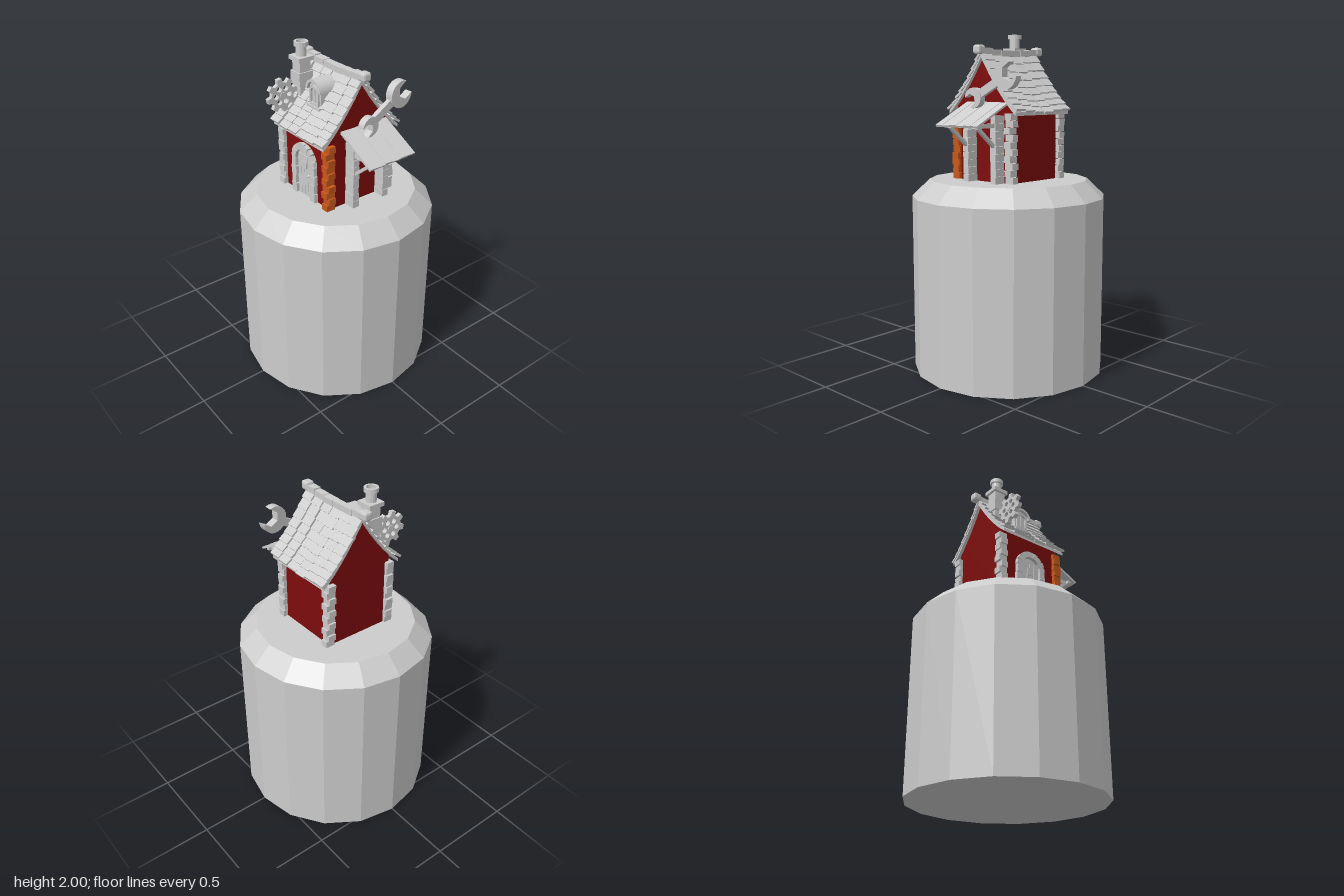
import * as THREE from 'three';
import { RoundedBoxGeometry } from 'three/addons/geometries/RoundedBoxGeometry.js';

const stone = new THREE.MeshStandardMaterial({ color: 0xcccccc });
stone.name = 'pale grey';
const red = new THREE.MeshStandardMaterial({ color: 0x7d0c0c });
red.name = 'dark red';
const orange = new THREE.MeshStandardMaterial({ color: 0xc8581a });
orange.name = 'burnt orange';

let seed = 7;
const jitter = (a) => {
  seed = (seed * 16807) % 2147483647;
  return (seed / 2147483647 - 0.5) * 2 * a;
};

function add(parent, name, geo, mat, x = 0, y = 0, z = 0) {
  const m = new THREE.Mesh(geo, mat);
  m.name = name;
  m.position.set(x, y, z);
  parent.add(m);
  return m;
}
const box = (parent, name, mat, w, h, d, x, y, z) =>
  add(parent, name, new THREE.BoxGeometry(w, h, d), mat, x, y, z);
function group(parent, name, x = 0, y = 0, z = 0) {
  const g = new THREE.Group();
  g.name = name;
  g.position.set(x, y, z);
  parent.add(g);
  return g;
}
function flat(geo) {
  const g = geo.index ? geo.toNonIndexed() : geo;
  g.computeVertexNormals();
  return g;
}
const extrude = (shape, depth, curveSegments = 8) =>
  new THREE.ExtrudeGeometry(shape, { depth, bevelEnabled: false, curveSegments });
const polygon = (pts) => new THREE.Shape(pts.map((p) => new THREE.Vector2(p[0], p[1])));

// Concave roof height at distance d from the ridge, and the sag along it
const roofY = (d) => 1.885 - 1.6 * d + 1.4 * d * d;
const sag = (x) => 0.008 - 0.016 * (1 - (x / 0.24) ** 2);
const roofCurve = (half, drop) => {
  const pts = [];
  for (let i = -8; i <= 8; i++) pts.push([(i / 8) * half, roofY(Math.abs(i / 8) * half) - drop]);
  return pts;
};
// Prism along x, centred, from a profile in the side plane
const sidePrism = (shape, width) => extrude(shape, width).translate(0, 0, -width / 2).rotateY(Math.PI / 2);

// Upright arch outline: half width r, straight sides from y0 to y1
function arch(r, y0, y1) {
  const s = new THREE.Shape();
  s.moveTo(-r, y0);
  s.lineTo(r, y0);
  s.lineTo(r, y1);
  s.absarc(0, y1, r, 0, Math.PI, false);
  s.closePath();
  return s;
}

function buildRoof(root) {
  const roof = group(root, 'roof');
  const profile = [...roofCurve(0.262, 0.03), ...roofCurve(0.262, 0.01).reverse()];
  add(roof, 'roofSlab', sidePrism(polygon(profile), 0.465), stone);
  const rows = 8, cols = 6, run = 0.268 / rows;
  for (const turn of [0, Math.PI]) {
    const side = group(roof, turn ? 'backTiles' : 'frontTiles');
    side.rotation.y = turn;
    for (let c = 0; c < cols; c++) {
      const lift = jitter(0.004), shift = jitter(0.004);
      for (let r = 0; r < rows; r++) {
        const d = (r + 0.5) * run, x = -0.2 + c * 0.08;
        const slope = Math.atan(1.6 - 2.8 * d);
        const len = (run / Math.cos(slope)) * 1.2;
        const t = box(side, 'tile', stone, 0.077, 0.014, len,
          x + jitter(0.002), roofY(d) + sag(x) + lift, d + shift + jitter(0.002));
        t.rotation.set(slope - 0.17 + jitter(0.03), 0, jitter(0.03));
      }
    }
  }
  // Ridge beam in short sagging lengths, with an end block each side
  for (let i = 0; i < 6; i++) {
    const x = -0.2 + i * 0.08;
    box(roof, 'ridgeTile', stone, 0.084, 0.034, 0.042 + (i % 2) * 0.005, x, 1.888 + sag(x), 0);
  }
  for (const x of [-0.252, 0.246])
    add(roof, 'ridgeEnd', flat(new RoundedBoxGeometry(0.056, 0.052, 0.054, 1, 0.013)), stone, x, 1.898, 0);
}

function buildWalls(root) {
  const walls = [[-0.21, 1.15], [0.21, 1.15], ...roofCurve(0.21, 0.026).reverse()];
  add(root, 'walls', sidePrism(polygon(walls), 0.424), red);
  // Corner stones, alternating long and short
  for (const sx of [-1, 1]) for (const sz of [-1, 1]) {
    const corner = group(root, 'cornerStones');
    for (let i = 0; i < 10; i++) {
      const w = (i % 2 ? 0.056 : 0.046) + jitter(0.003), d = (i % 2 ? 0.046 : 0.056) + jitter(0.003);
      const s = box(corner, 'cornerStone', sx > 0 && sz > 0 ? orange : stone, w, 0.037, d,
        sx * (0.183 + w / 2), 1.17 + i * 0.0395, sz * (0.183 + d / 2));
      s.rotation.z = jitter(0.05);
    }
  }
}

function buildDoor(root) {
  const door = group(root, 'door', 0, 0, 0.2);
  add(door, 'doorPanel', extrude(arch(0.072, 1.15, 1.37), 0.014), stone);
  for (const x of [-0.045, -0.015, 0.015, 0.045])
    box(door, 'doorPlank', stone, 0.028, 0.25, 0.006, x, 1.282, 0.016);
  box(door, 'doorWindow', stone, 0.04, 0.045, 0.006, 0, 1.35, 0.02);
  add(door, 'doorKnob', new THREE.SphereGeometry(0.009, 10, 8), stone, 0.045, 1.295, 0.024);
  for (const s of [-1, 1]) for (let i = 0; i < 4; i++)
    box(door, 'jambStone', stone, i % 2 ? 0.036 : 0.045, 0.053, 0.036, s * 0.087, 1.177 + i * 0.056, 0.015);
  for (let i = 0; i < 9; i++) {
    const a = ((i + 0.5) / 9) * Math.PI;
    const b = box(door, 'archStone', stone, 0.038, 0.031, 0.036 + (i % 2) * 0.005,
      Math.cos(a) * 0.087, 1.372 + Math.sin(a) * 0.09, 0.015);
    b.rotation.z = a;
  }
}

function buildDormer(root) {
  const dormer = group(root, 'dormer', 0, 0, 0.02);
  add(dormer, 'dormerBody', extrude(arch(0.05, 1.67, 1.775), 0.118), stone);
  const hood = new THREE.Shape();
  hood.absarc(0, 1.775, 0.066, 0, Math.PI, false);
  hood.lineTo(-0.051, 1.775);
  hood.absarc(0, 1.775, 0.051, Math.PI, 0, true);
  add(dormer, 'dormerHood', extrude(hood, 0.135, 16), stone);
  const frame = arch(0.04, 1.69, 1.765);
  frame.holes.push(arch(0.027, 1.705, 1.765));
  add(dormer, 'dormerFrame', extrude(frame, 0.012), stone, 0, 0, 0.118);
  box(dormer, 'windowBar', stone, 0.007, 0.1, 0.008, 0, 1.745, 0.12);
  box(dormer, 'windowSill', stone, 0.112, 0.014, 0.03, 0, 1.682, 0.122);
}

function buildChimney(root) {
  const c = group(root, 'chimney', -0.17, 0, 0.105);
  box(c, 'chimneyShaft', stone, 0.072, 0.25, 0.072, 0, 1.775, 0);
  box(c, 'chimneyCollar', stone, 0.088, 0.075, 0.09, 0, 1.795, 0);
  box(c, 'chimneyCap', stone, 0.1, 0.024, 0.1, 0, 1.908, 0);
  // Hollow pot with a wider lip
  const pot = [[0.03, 1.9], [0.03, 1.975], [0.041, 1.975], [0.041, 2], [0.027, 2], [0.027, 1.94], [0, 1.94]];
  add(c, 'chimneyPot', flat(new THREE.LatheGeometry(pot.map((p) => new THREE.Vector2(...p)), 16)), stone);
}

function buildGear(root) {
  const pts = [];
  for (let i = 0; i < 8; i++)
    for (const [o, r] of [[-0.24, 0.073], [-0.14, 0.098], [0.14, 0.098], [0.24, 0.073]]) {
      const a = (i / 8) * Math.PI * 2 + o + 0.2;
      pts.push([Math.cos(a) * r, Math.sin(a) * r]);
    }
  const shape = polygon(pts);
  for (let i = 0; i < 6; i++) {
    const a = (i / 6) * Math.PI * 2;
    shape.holes.push(new THREE.Path().absarc(Math.cos(a) * 0.043, Math.sin(a) * 0.043, 0.016, 0, Math.PI * 2, true));
  }
  const g = group(root, 'gear', -0.17, 1.722, 0.243);
  add(g, 'gearWheel', sidePrism(shape, 0.026), stone);
  add(g, 'gearHub', flat(new THREE.CylinderGeometry(0.02, 0.02, 0.036, 12).rotateZ(Math.PI / 2)), stone);
}

function buildWrench(root) {
  const w = group(root, 'wrench', 0.284, 1.628, -0.003);
  w.rotation.set(0, Math.PI / 2 + 0.08, 0.5, 'YXZ');
  const jaw = (name, R, x, turn, depth) => {
    const s = new THREE.Shape();
    s.absarc(0, 0, R, 0.62, Math.PI * 2 - 0.62, false);
    s.lineTo(0.1 * R, -0.55 * R);
    s.lineTo(-0.25 * R, 0);
    s.lineTo(0.1 * R, 0.55 * R);
    s.closePath();
    add(w, name, extrude(s, depth, 20).translate(0, 0, -depth / 2), stone, x, 0, 0).rotation.z = turn;
  };
  jaw('largeJaw', 0.078, 0.26, 0.05, 0.046);
  jaw('smallJaw', 0.057, 0, Math.PI + 0.1, 0.042);
  box(w, 'wrenchHandle', stone, 0.17, 0.046, 0.028, 0.12, 0, 0);
}

function buildAwning(root) {
  const a = group(root, 'awning');
  const deck = group(a, 'awningDeck', 0.21, 1.6, -0.03);
  deck.rotation.z = -0.463;
  for (let i = 0; i < 6; i++) {
    const len = 0.28 + jitter(0.006);
    box(deck, 'awningPlank', stone, len, 0.011 + (i % 2) * 0.003, 0.053, len / 2, 0, (i - 2.5) * 0.0535);
  }
  for (const z of [0.075, -0.14]) {
    for (let i = 0; i < 9; i++)
      box(a, 'postStone', stone, 0.07 + jitter(0.004), 0.041, 0.04 + jitter(0.004), 0.248, 1.171 + i * 0.0425, z);
    box(a, 'awningBeam', stone, 0.21, 0.024, 0.025, 0.33, 1.477, z);
    const brace = box(a, 'awningBrace', stone, 0.17, 0.018, 0.022, 0.343, 1.415, z);
    brace.rotation.z = 0.7;
  }
  box(a, 'awningCrossBeam', stone, 0.02, 0.02, 0.28, 0.425, 1.478, -0.03);
}

export function createModel() {
  const root = new THREE.Group();
  root.name = 'workshopOnPedestal';
  // Sixteen-sided pedestal with a chamfered top
  const outline = [[0, 0], [0.575, 0], [0.575, 1.05], [0.47, 1.15], [0, 1.15]];
  add(root, 'pedestal', flat(new THREE.LatheGeometry(outline.map((p) => new THREE.Vector2(...p)), 16)), stone);
  buildWalls(root);
  buildRoof(root);
  buildDoor(root);
  buildDormer(root);
  buildChimney(root);
  buildGear(root);
  buildWrench(root);
  buildAwning(root);
  return root;
}
